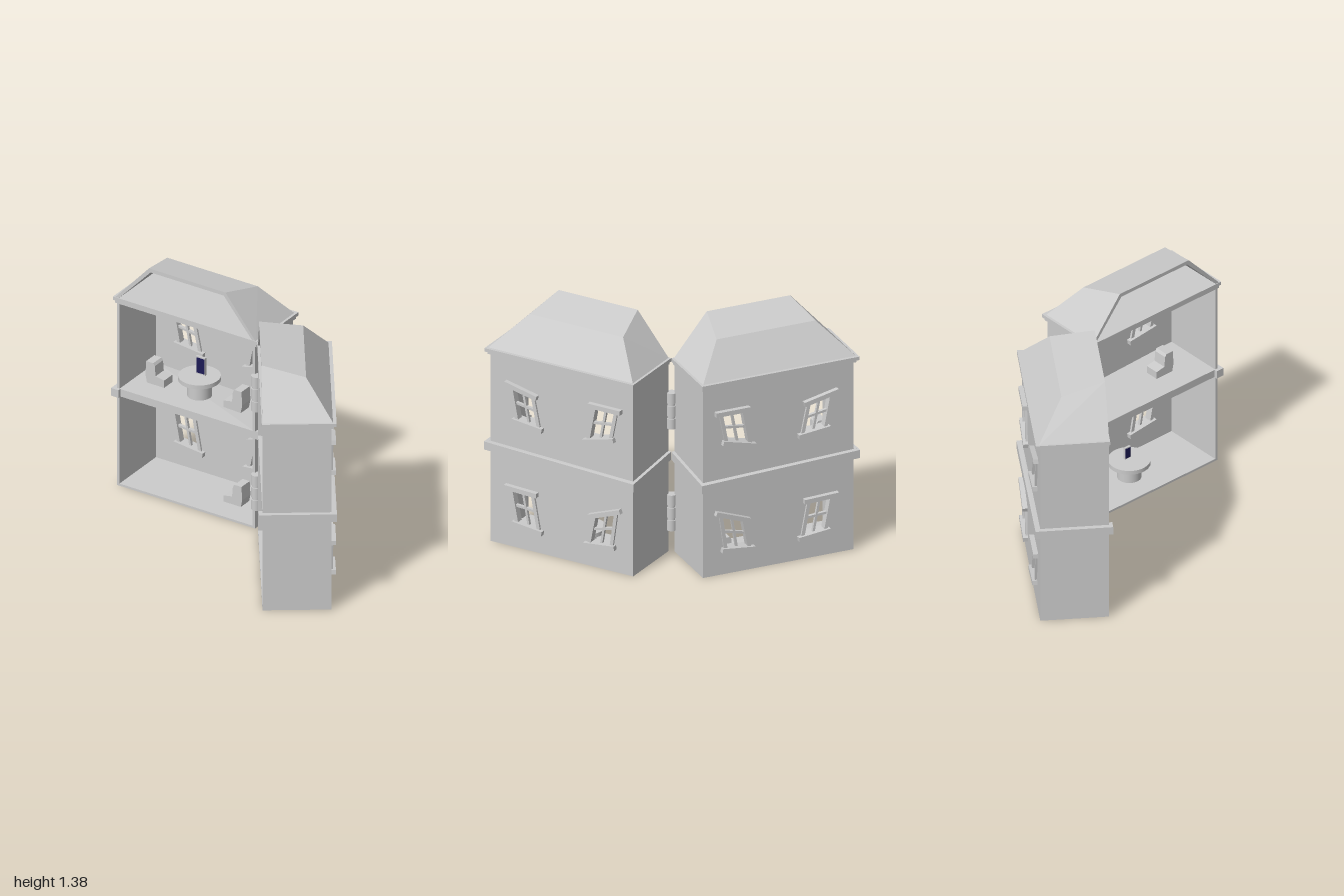
import * as THREE from 'three';
import { mergeVertices } from 'three/addons/utils/BufferGeometryUtils.js';

const grey = new THREE.MeshStandardMaterial({ color: 0xcccccc, flatShading: true });
const thin = new THREE.MeshStandardMaterial({ color: 0xcccccc, flatShading: true, side: THREE.DoubleSide });
const smooth = new THREE.MeshStandardMaterial({ color: 0xcccccc });
const navy = new THREE.MeshStandardMaterial({ color: 0x1c1a55 });

// Half-house frame: u runs outward from the hinge, w runs back from the open front
const NEAR = 0.02, FAR = 0.905, DEPTH = 0.37, WALL = 0.016;

// Each window: [u, y] corners of its crooked opening, near-bottom, far-bottom, far-top, near-top
const WINDOWS = [
  [[0.155, 0.775], [0.295, 0.74], [0.255, 0.955], [0.12, 0.955]],
  [[0.60, 0.735], [0.735, 0.75], [0.775, 0.955], [0.64, 0.925]],
  [[0.15, 0.145], [0.29, 0.13], [0.255, 0.31], [0.12, 0.36]],
  [[0.60, 0.13], [0.735, 0.145], [0.775, 0.35], [0.64, 0.345]],
];

// Box given by its ranges in u, y and w
function block(u0, u1, y0, y1, w0, w1) {
  return new THREE.BoxGeometry(u1 - u0, y1 - y0, w1 - w0)
    .translate((u0 + u1) / 2, (y0 + y1) / 2, -(w0 + w1) / 2);
}

// Lower the inner back corner of a geometry, so that the storey line sags
function sag(g) {
  const p = g.attributes.position;
  for (let i = 0; i < p.count; i++) {
    const back = Math.max(0, -p.getZ(i) / DEPTH);
    p.setY(i, p.getY(i) - 0.033 * back * Math.max(0, 1 - p.getX(i) / FAR));
  }
  g.computeVertexNormals();
  return g;
}

// Straight bar between two points of the back wall
function bar(a, b, height, depth, extra = 0) {
  const dx = b[0] - a[0], dy = b[1] - a[1];
  return new THREE.BoxGeometry(Math.hypot(dx, dy) + 2 * extra, height, depth)
    .rotateZ(Math.atan2(dy, dx))
    .translate((a[0] + b[0]) / 2, (a[1] + b[1]) / 2, -DEPTH + WALL / 2);
}

const mid = (a, b) => [(a[0] + b[0]) / 2, (a[1] + b[1]) / 2];

// Back wall with four crooked openings
function backWallGeometry() {
  const s = new THREE.Shape([[NEAR, 0], [FAR, 0], [FAR, 1.12], [NEAR, 1.12]].map(p => new THREE.Vector2(...p)));
  for (const q of WINDOWS) s.holes.push(new THREE.Path([...q, q[0]].map(p => new THREE.Vector2(...p))));
  return new THREE.ExtrudeGeometry(s, { depth: WALL, bevelEnabled: false }).translate(0, 0, -DEPTH);
}

// Hipped roof shell with two slopes at the back, open at the front
function roofGeometry() {
  const shell = t => ({
    f: [[NEAR - 0.005 + t, 1.138, 0], [0.21 + t * 0.5, 1.38 - t, 0], [0.70 - t * 0.5, 1.38 - t, 0], [0.918 - t, 1.138, 0]],
    r: [[NEAR - 0.005 + t, 1.138, -0.38 + t], [0.16 + t * 0.5, 1.325 - t, -0.238 + t * 0.4],
      [0.74 - t * 0.5, 1.325 - t, -0.238 + t * 0.4], [0.918 - t, 1.138, -0.38 + t]],
  });
  const o = shell(0), n = shell(0.022), v = [];
  const quad = (a, b, c, d) => v.push(...a, ...b, ...c, ...a, ...c, ...d);
  for (let i = 0; i < 3; i++) {
    quad(o.f[i], o.f[i + 1], o.r[i + 1], o.r[i]);
    quad(n.r[i], n.r[i + 1], n.f[i + 1], n.f[i]);
    quad(o.f[i], n.f[i], n.f[i + 1], o.f[i + 1]);
  }
  quad(...o.r);
  quad(...[...n.r].reverse());
  const g = new THREE.BufferGeometry();
  g.setAttribute('position', new THREE.Float32BufferAttribute(v, 3));
  g.computeVertexNormals();
  return g;
}

// L-shaped chair, its back towards the hinge (dir 1) or away from it (dir -1)
function chairGeometry(u, y, w, dir) {
  const pts = [[-0.05, 0], [0.06, 0], [0.06, 0.045], [0.005, 0.055], [0, 0.115], [-0.01, 0.13], [-0.055, 0.13], [-0.06, 0.05]];
  return new THREE.ExtrudeGeometry(new THREE.Shape(pts.map(p => new THREE.Vector2(...p))), { depth: 0.08, bevelEnabled: false })
    .translate(0, 0, -0.04).rotateY(dir > 0 ? 0 : Math.PI).translate(u, y, -w);
}

function halfHouse(side) {
  const house = new THREE.Group();
  house.name = side > 0 ? 'leftHalf' : 'rightHalf';

  // Adds a part; the other half gets it mirrored with the winding put right
  function add(name, geometry, material = grey) {
    let g = geometry;
    if (side < 0) {
      g = g.index ? g : mergeVertices(g);
      g.scale(-1, 1, 1);
      const a = g.index.array;
      for (let i = 0; i < a.length; i += 3) [a[i], a[i + 2]] = [a[i + 2], a[i]];
    }
    const mesh = new THREE.Mesh(g, material);
    mesh.name = name;
    house.add(mesh);
  }

  // Walls, floors and roof
  add('backWall', backWallGeometry());
  add('innerSideWall', block(NEAR, NEAR + WALL, 0, 1.12, 0, DEPTH - WALL));
  add('outerSideWall', block(FAR - WALL, FAR, 0, 1.12, 0, DEPTH - WALL));
  add('groundFloor', block(NEAR + WALL, FAR - WALL, 0, 0.013, 0, DEPTH - WALL));
  add('upperFloor', sag(block(NEAR, FAR, 0.545, 0.59, 0, DEPTH - 0.005)));
  add('eave', block(0.004, 0.928, 1.122, 1.142, -0.004, 0.396));
  add('eaveMoulding', block(0.012, 0.916, 1.106, 1.122, 0, 0.383));
  add('roof', roofGeometry(), thin);

  // Band around the outside between the storeys
  add('bandBack', sag(block(0.002, 0.93, 0.545, 0.592, DEPTH, 0.398)));
  add('bandInner', sag(block(0.002, NEAR, 0.545, 0.592, 0, DEPTH)));
  add('bandOuter', sag(block(FAR, 0.93, 0.545, 0.592, 0, DEPTH)));
  add('bandEnd', block(0.882, 0.93, 0.545, 0.592, -0.02, 0));

  // Window frames: jambs, crossed glazing bars, heavier lintel and sill
  for (const [nb, fb, ft, nt] of WINDOWS) {
    add('jamb', bar(nb, nt, 0.02, 0.04));
    add('jamb', bar(fb, ft, 0.02, 0.04));
    add('glazingBar', bar(mid(nb, fb), mid(nt, ft), 0.013, 0.016));
    add('glazingBar', bar(mid(nb, nt), mid(fb, ft), 0.013, 0.018));
    add('lintel', bar(nt, ft, 0.026, 0.07, 0.033));
    add('sill', bar(nb, fb, 0.026, 0.07, 0.026));
  }

  // Round table with a framed tablet on it
  function table(u, y, w, h, tablet) {
    add('tablePedestal', new THREE.CylinderGeometry(0.066, 0.066, h, 32).translate(u, y + h / 2, -w), smooth);
    add('tableTop', new THREE.CylinderGeometry(0.115, 0.115, 0.024, 40).translate(u, y + h + 0.012, -w), smooth);
    const y0 = y + h + 0.024, k = tablet / 2, tw = w + 0.01;
    add('tablet', block(u - k * 0.56, u + k * 0.56, y0, y0 + tablet, tw, tw + 0.014));
    add('tabletScreen', block(u - k * 0.46, u + k * 0.46, y0 + tablet * 0.07, y0 + tablet * 0.93, tw - 0.002, tw), navy);
  }

  // Furniture
  if (side < 0) {
    table(0.495, 0.575, 0.18, 0.11, 0.105);
    add('chair', chairGeometry(0.755, 0.589, 0.18, -1));
    add('chair', chairGeometry(0.255, 0.583, 0.18, 1));
    add('chair', chairGeometry(0.255, 0.005, 0.18, 1));
  } else {
    table(0.435, 0.01, 0.18, 0.09, 0.07);
    add('chair', chairGeometry(0.167, 0.582, 0.18, 1));
    add('chair', chairGeometry(0.655, 0.588, 0.18, -1));
  }
  return house;
}

export function createModel() {
  const model = new THREE.Group();
  model.name = 'openDollhouse';

  // The two halves swing open about the hinge line
  for (const [side, degrees] of [[1, -35], [-1, 20]]) {
    const half = halfHouse(side);
    half.rotation.y = THREE.MathUtils.degToRad(degrees);
    half.position.set(side > 0 ? 0.005 : 0.008, 0, -0.09);
    model.add(half);
  }

  // Hinges made of three knuckles on a pin
  for (const y of [0.235, 0.835]) {
    const hinge = new THREE.Group();
    hinge.name = 'hinge';
    const pin = new THREE.Mesh(new THREE.CylinderGeometry(0.022, 0.022, 0.21, 20), smooth);
    pin.name = 'hingePin';
    hinge.add(pin);
    for (const k of [-1, 0, 1]) {
      const knuckle = new THREE.Mesh(new THREE.CylinderGeometry(0.028, 0.028, 0.06, 20), smooth);
      knuckle.name = 'hingeKnuckle';
      knuckle.position.y = k * 0.075;
      hinge.add(knuckle);
    }
    hinge.position.set(0.004, y, -0.08);
    model.add(hinge);
  }
  return model;
}
